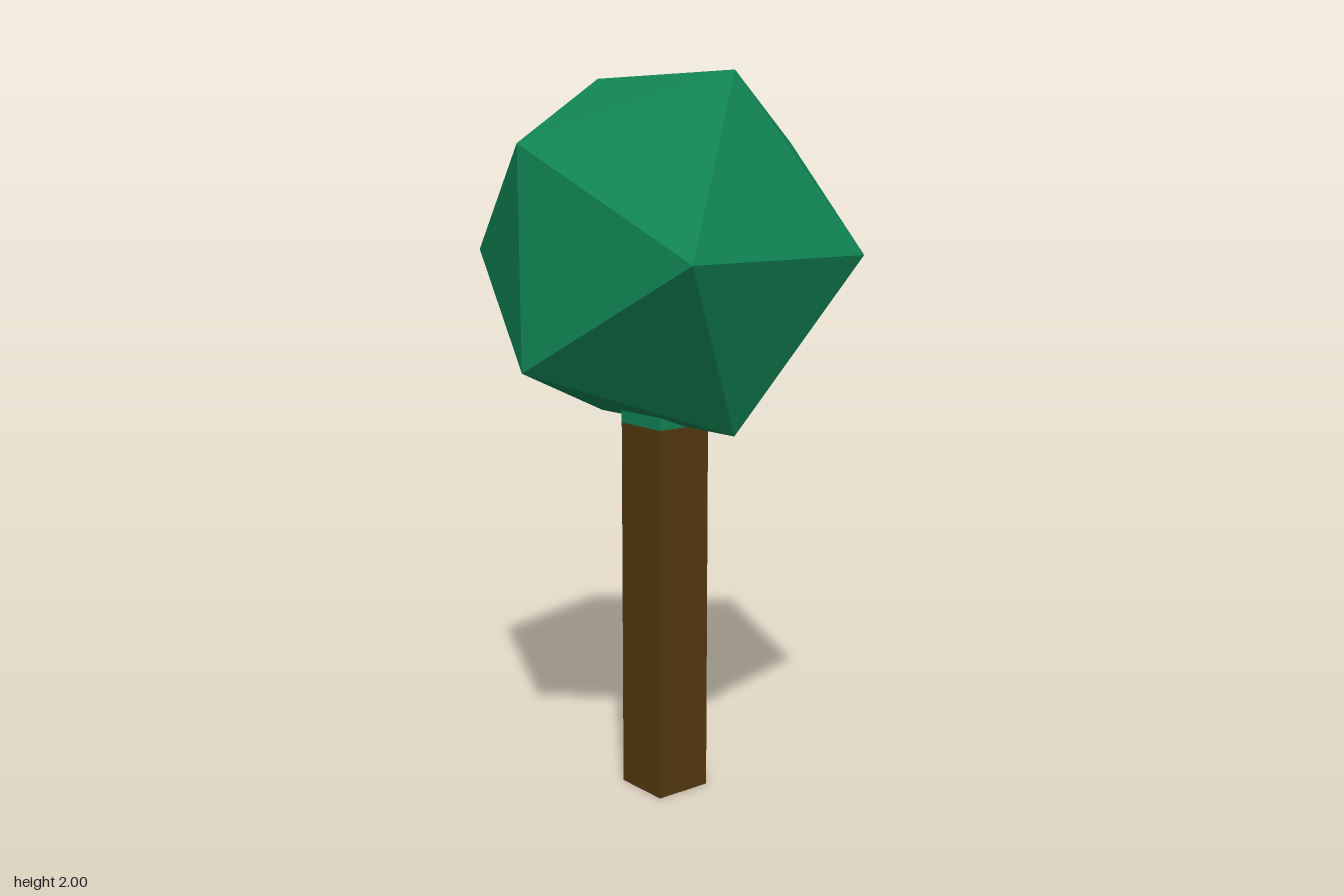
import * as THREE from 'three';

export function createModel() {
  const model = new THREE.Group();
  model.name = 'tree';

  const leafGreen = new THREE.MeshStandardMaterial({ color: 0x118454, flatShading: true });
  leafGreen.name = 'leafGreen';
  const barkBrown = new THREE.MeshStandardMaterial({ color: 0x543811, flatShading: true });
  barkBrown.name = 'barkBrown';

  const addPart = (name, geometry, material, y, z) => {
    const mesh = new THREE.Mesh(geometry, material);
    mesh.name = name;
    mesh.position.set(0, y, z);
    model.add(mesh);
    return mesh;
  };

  const width = 0.17;
  const trunkTop = 1.055;
  const collarHeight = 0.1;

  // Square trunk
  addPart('trunk', new THREE.BoxGeometry(width, trunkTop, width), barkBrown, trunkTop / 2, 0.004);

  // Green top of the trunk, running up into the foliage
  addPart('trunkCollar', new THREE.BoxGeometry(width, collarHeight, width), leafGreen,
    trunkTop + collarHeight / 2, 0.004);

  // Twenty-sided crown, ridge running front to back, leaning very slightly back
  const crownGeometry = new THREE.IcosahedronGeometry(0.5525, 0).rotateY(Math.PI / 2);
  const crown = addPart('crown', crownGeometry, leafGreen, 1.527, 0);
  crown.rotation.x = -0.01;

  return model;
}
